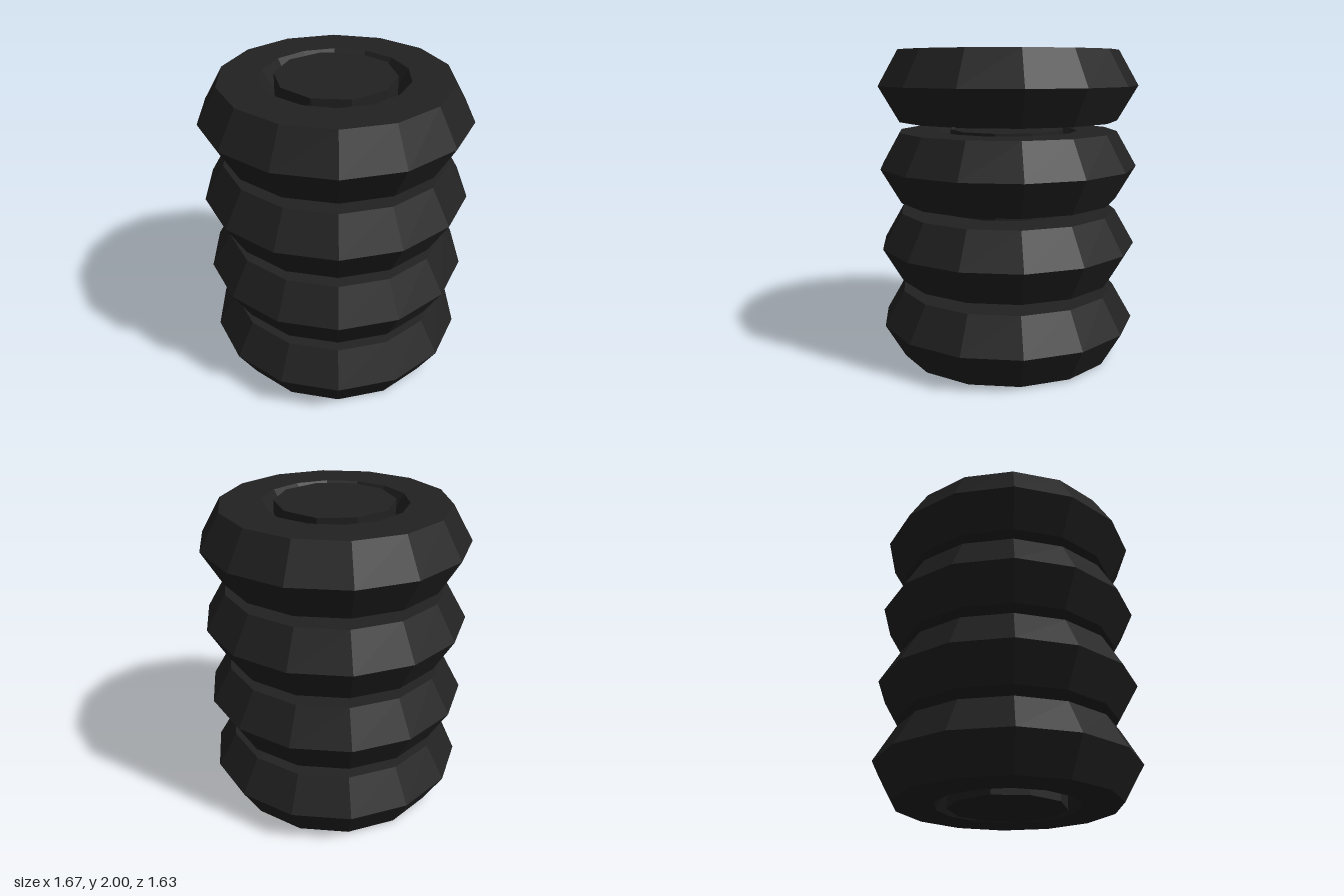
import * as THREE from 'three';

export function createModel() {
  const model = new THREE.Group();
  model.name = 'tireStack';
  const rubber = new THREE.MeshStandardMaterial({ color: 0x222222 });
  rubber.name = 'black rubber';
  rubber.flatShading = true;

  // Hexagonal-section ring lying flat, and the plug that fills its hole
  const ringGeometry = new THREE.TorusGeometry(0.58, 0.256, 6, 14).rotateX(Math.PI / 2);
  const hubGeometry = new THREE.CylinderGeometry(0.37, 0.37, 0.465, 10);

  const count = 4;
  const spacing = 0.5117;
  for (let i = 0; i < count; i++) {
    const tire = new THREE.Group();
    tire.name = `tire${i + 1}`;
    tire.position.y = 0.2325 + i * spacing;

    const ring = new THREE.Mesh(ringGeometry, rubber);
    ring.name = 'tireRing';
    ring.position.y = 0.003;

    const hub = new THREE.Mesh(hubGeometry, rubber);
    hub.name = 'tireHub';

    tire.add(ring, hub);
    model.add(tire);
  }
  return model;
}
